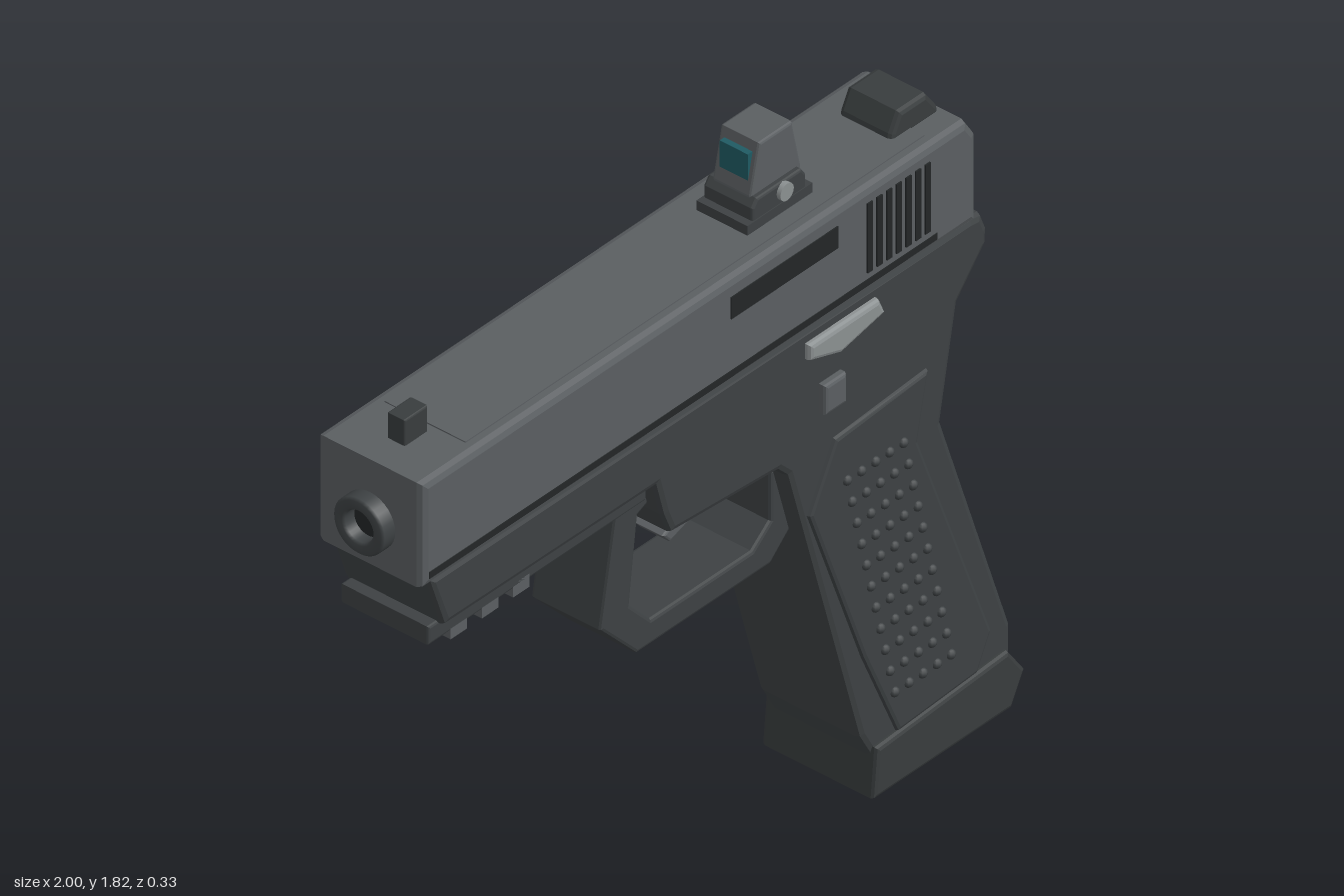
import * as THREE from 'three';

const mat = (color) => new THREE.MeshStandardMaterial({ color });
const slideGrey = mat(0x5a5e61), frameGrey = mat(0x3d4143), baseGrey = mat(0x383c3d);
const dark = mat(0x232627), light = mat(0x8b9091), teal = mat(0x1f5a63);

export function createModel() {
  const model = new THREE.Group();

  const add = (name, geometry, material, x = 0, y = 0, z = 0) => {
    const mesh = new THREE.Mesh(geometry, material);
    mesh.name = name;
    mesh.position.set(x, y, z);
    model.add(mesh);
    return mesh;
  };

  // side profile extruded across z, bevelled inside its outline
  const slab = (name, pts, depth, bevel, material, z = 0) => {
    const shape = new THREE.Shape(pts.map(([x, y]) => new THREE.Vector2(x, y)));
    const geo = new THREE.ExtrudeGeometry(shape, {
      depth: depth - 2 * bevel, bevelEnabled: bevel > 0, bevelThickness: bevel,
      bevelSize: bevel, bevelOffset: -bevel, bevelSegments: 2,
    });
    geo.translate(0, 0, bevel - depth / 2);
    return add(name, geo, material, 0, 0, z);
  };

  // box given by its x and y limits
  const block = (name, x0, x1, y0, y1, depth, material, z = 0) =>
    add(name, new THREE.BoxGeometry(x1 - x0, y1 - y0, depth), material, (x0 + x1) / 2, (y0 + y1) / 2, z);

  // slide with bevelled edges and a thin raised top panel
  slab('slide', [[-0.96, 1.335], [0.85, 1.335], [0.85, 1.565], [0.82, 1.61], [-0.96, 1.61]], 0.3, 0.018, slideGrey);
  block('slideTopPanel', -0.78, 0.72, 1.6, 1.613, 0.23, slideGrey);
  block('slideGroove', -0.94, 0.72, 1.355, 1.372, 0.304, dark);
  block('ejectionPort', 0.045, 0.395, 1.508, 1.565, 0.306, dark);
  for (let i = 0; i < 7; i++) {
    const x = 0.49 + i * 0.0315;
    block('serration', x, x + 0.017, 1.39, 1.572, 0.308, dark);
  }

  // barrel end with an open bore
  const barrelProfile = [[0.04, -0.05], [0.04, 0.034], [0.046, 0.04], [0.066, 0.04], [0.072, 0.034], [0.072, -0.05]];
  const barrel = add('barrel', new THREE.LatheGeometry(
    barrelProfile.map(([r, h]) => new THREE.Vector2(r, h)), 32), frameGrey, -0.96, 1.452, 0);
  barrel.material = frameGrey.clone();
  barrel.material.side = THREE.DoubleSide;
  barrel.rotation.z = Math.PI / 2;
  const bore = add('bore', new THREE.CircleGeometry(0.042, 32), dark, -0.965, 1.452, 0);
  bore.rotation.y = -Math.PI / 2;

  // frame and grip in one profile
  slab('frame', [
    [-0.93, 1.34], [-0.88, 1.195], [-0.19, 1.19], [-0.165, 1.1], [-0.14, 1.04], [0.21, 1.015],
    [0.24, 0.985], [0.475, 0.17], [0.52, 0.09], [0.968, 0.1], [0.968, 0.21], [0.743, 0.86],
    [0.797, 1.145], [0.89, 1.25], [0.893, 1.29], [0.875, 1.335], [0.84, 1.34],
  ], 0.29, 0.016, frameGrey);
  slab('magazineBase', [[0.503, 0], [0.955, 0], [0.998, 0.08], [0.945, 0.153], [0.515, 0.128]], 0.32, 0.01, baseGrey);

  // raised grip panels on both sides
  slab('gripPanel', [
    [0.385, 1.01], [0.3, 0.85], [0.476, 0.385], [0.59, 0.13], [0.85, 0.145], [0.895, 0.235],
    [0.655, 0.86], [0.69, 1.03],
  ], 0.31, 0.01, frameGrey);

  // rows of grip studs following the slant of the grip
  const stud = new THREE.SphereGeometry(0.013, 8, 6);
  for (const side of [1, -1]) {
    for (let row = 0; row < 11; row++) {
      for (let col = 0; col < 5; col++) {
        const x = 0.42 + row * 0.0155 + col * 0.046;
        add('gripStud', stud, frameGrey, x, 0.885 - row * 0.064, side * 0.154);
      }
    }
  }

  // accessory rail under the front of the frame
  slab('rail', [[-0.912, 1.152], [-0.2, 1.152], [-0.2, 1.2], [-0.912, 1.2]], 0.25, 0.006, frameGrey);
  for (const x of [-0.84, -0.738, -0.636]) {
    block('railRib', x, x + 0.054, 1.13, 1.165, 0.25, slideGrey);
  }

  // trigger guard loop, open at the frame
  slab('triggerGuard', [
    [-0.262, 1.18], [-0.32, 0.86], [-0.203, 0.738], [0.235, 0.738], [0.32, 0.815], [0.32, 0.98],
    [0.235, 0.98], [0.235, 0.85], [0.176, 0.802], [-0.155, 0.802], [-0.225, 0.877],
    [-0.198, 1.1], [-0.15, 1.12], [-0.15, 1.18],
  ], 0.2, 0.008, frameGrey);
  slab('trigger', [
    [0.035, 1.05], [0.005, 0.972], [-0.052, 0.938], [-0.03, 0.913], [0.07, 0.945], [0.11, 1.05],
  ], 0.09, 0.006, slideGrey);

  // controls on both sides
  slab('slideLever', [[0.294, 1.307], [0.294, 1.267], [0.396, 1.235], [0.54, 1.265], [0.522, 1.307]], 0.325, 0.01, light);
  slab('releaseButton', [[0.34, 1.1], [0.41, 1.1], [0.41, 1.177], [0.34, 1.177]], 0.33, 0.008, slideGrey);

  // iron sights
  slab('frontSight', [[-0.875, 1.6], [-0.8, 1.6], [-0.8, 1.677], [-0.875, 1.677]], 0.05, 0.004, baseGrey);
  slab('rearSight', [[0.655, 1.6], [0.815, 1.6], [0.81, 1.625], [0.775, 1.672], [0.685, 1.672], [0.66, 1.625]], 0.15, 0.012, baseGrey);

  // optic: plate, body, tapered hood, lens and screw
  block('opticPlate', 0.19, 0.402, 1.605, 1.638, 0.145, frameGrey);
  slab('opticBody', [[0.21, 1.63], [0.385, 1.63], [0.385, 1.67], [0.37, 1.69], [0.225, 1.69], [0.21, 1.67]], 0.14, 0.006, frameGrey);
  slab('opticHood', [[0.22, 1.67], [0.385, 1.67], [0.385, 1.69], [0.357, 1.815], [0.25, 1.815], [0.222, 1.69]], 0.11, 0.006, slideGrey);
  block('rearLens', 0.3, 0.374, 1.752, 1.785, 0.08, teal);
  block('frontLens', 0.229, 0.3, 1.715, 1.79, 0.08, teal);
  const screw = add('opticScrew', new THREE.CylinderGeometry(0.022, 0.022, 0.03, 16), light, 0.31, 1.667, 0.066);
  screw.rotation.x = Math.PI / 2;

  return model;
}
